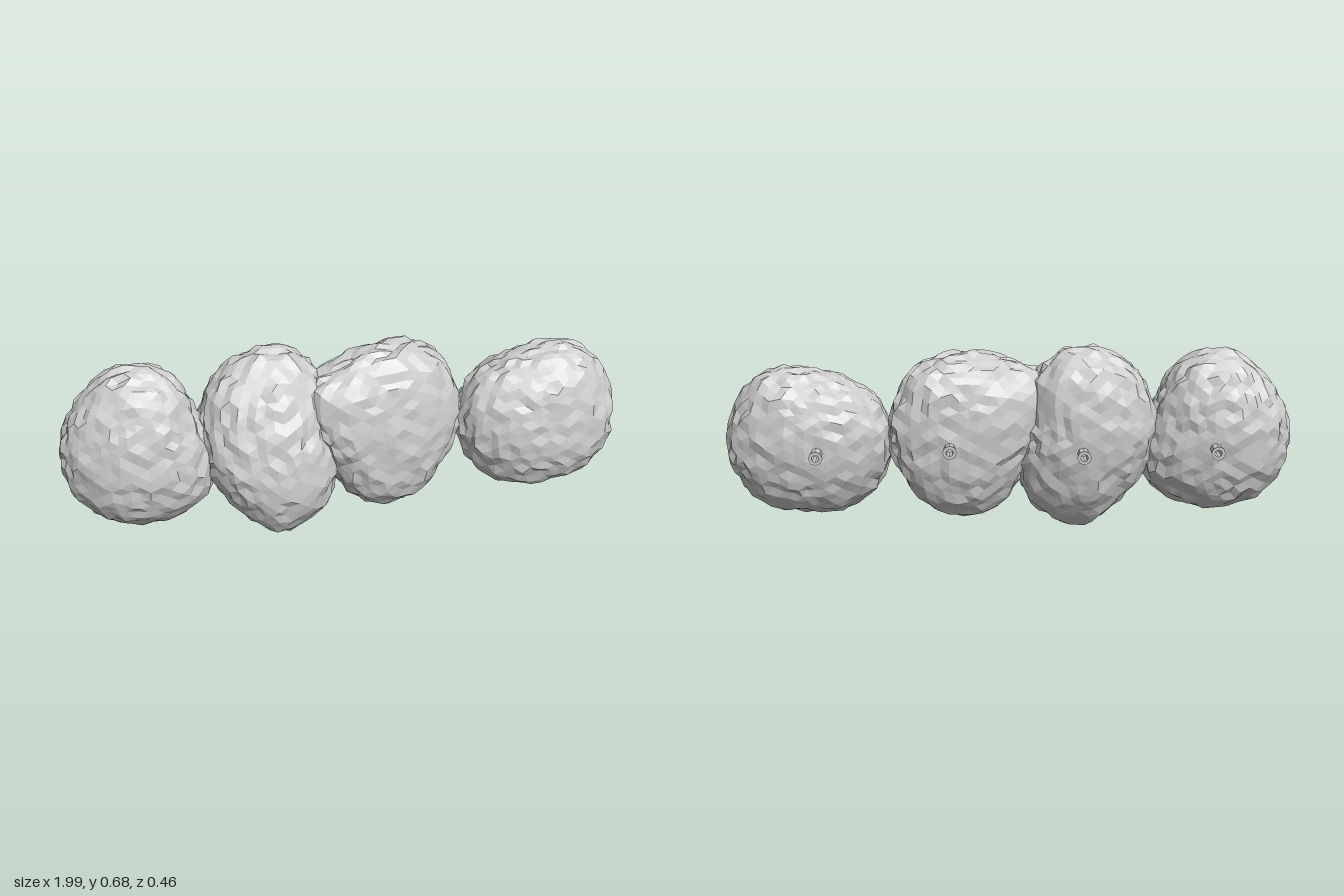
import * as THREE from 'three';

const stone = new THREE.MeshStandardMaterial({ color: 0xcccccc, flatShading: true, side: THREE.DoubleSide });
stone.name = 'stone grey';

// Each hold: centre, outline radii every 30 degrees from +x, depths, tilt of the widest ring,
// lean (how much the front bulges towards the bottom), fullness of the section, bolt position
const HOLDS = [
  { name: 'holdRight', c: [-0.738, 0.355], front: 0.176, back: 0.175, tilt: [0.04, -0.03], lean: 0.1, full: 2.2, bolt: [-0.71, 0.345],
    r: [0.262, 0.248, 0.287, 0.305, 0.272, 0.255, 0.26, 0.27, 0.28, 0.283, 0.292, 0.298] },
  { name: 'holdMidRight', c: [-0.273, 0.35], front: 0.21, back: 0.175, tilt: [0, -0.07], lean: 0.26, full: 2.2, bolt: [-0.25, 0.335],
    r: [0.24, 0.235, 0.305, 0.325, 0.3, 0.268, 0.25, 0.248, 0.272, 0.34, 0.325, 0.278] },
  { name: 'holdMidLeft', c: [0.144, 0.365], front: 0.161, back: 0.172, tilt: [-0.13, -0.04], lean: 0.08, full: 2.5, bolt: [0.21, 0.36],
    r: [0.278, 0.288, 0.303, 0.29, 0.297, 0.335, 0.275, 0.245, 0.28, 0.31, 0.297, 0.272] },
  { name: 'holdLeft', c: [0.706, 0.34], front: 0.176, back: 0.175, tilt: [0.01, -0.03], lean: 0.12, full: 2.25, bolt: [0.665, 0.345],
    r: [0.285, 0.283, 0.292, 0.262, 0.262, 0.288, 0.3, 0.292, 0.282, 0.258, 0.273, 0.283] },
];

// Repeatable value from -1 to 1 for a point
function hash(x, y, z, seed) {
  const q = (v) => Math.round(v * 1000);
  const s = Math.sin(q(x) * 12.9898 + q(y) * 78.233 + q(z) * 37.719 + seed * 11.3) * 43758.5453;
  return 2 * (s - Math.floor(s)) - 1;
}

// Smooth closed outline through the listed radii
function outline(r, angle) {
  const n = r.length;
  const t = ((angle / (2 * Math.PI) + 1) % 1) * n;
  const i = Math.floor(t), f = t - i;
  const [a, b, c, d] = [-1, 0, 1, 2].map((k) => r[(i + k + n) % n]);
  return b + 0.5 * f * (c - a + f * (2 * a - 5 * b + 4 * c - d + f * (3 * (b - c) + d - a)));
}

// Rough boulder: a faceted sphere stretched to the outline and roughened
function boulder(h, seed) {
  const geo = new THREE.IcosahedronGeometry(1, 8);
  const pos = geo.attributes.position;
  for (let i = 0; i < pos.count; i++) {
    const x = pos.getX(i), y = pos.getY(i), z = pos.getZ(i);
    const wave = 0.012 * Math.sin(9 * x + seed * 2) * Math.sin(8 * y + seed) * Math.cos(7 * z);
    const rough = 1 + 0.033 * hash(x, y, z, seed) + wave;
    // Squarer section than a plain ellipse
    const swell = (Math.hypot(x, y) ** h.full + Math.abs(z) ** h.full) ** (-1 / h.full) * rough;
    const r = outline(h.r, Math.atan2(y, x)) * swell;
    const px = x * r, py = y * r;
    const depth = z > 0 ? h.front * (1 - h.lean * y) : h.back;
    pos.setXYZ(i, px, py, z * depth * swell + h.tilt[0] * px + h.tilt[1] * py);
  }
  geo.computeVertexNormals();
  const mesh = new THREE.Mesh(geo, stone);
  mesh.position.set(h.c[0], h.c[1], 0);
  mesh.name = 'boulder';
  return mesh;
}

// Hollow bolt sticking out of the back
function backBolt(h) {
  const profile = [[0.02, 0], [0.02, 0.08], [0.025, 0.107], [0.013, 0.107], [0.013, 0.05], [0, 0.05]];
  const geo = new THREE.LatheGeometry(profile.map(([x, y]) => new THREE.Vector2(x, y)), 8);
  geo.rotateX(-Math.PI / 2);
  const mesh = new THREE.Mesh(geo, stone);
  mesh.position.set(h.bolt[0], h.bolt[1], -0.12);
  mesh.name = 'backBolt';
  return mesh;
}

export function createModel() {
  const model = new THREE.Group();
  model.name = 'climbingHolds';
  HOLDS.forEach((h, i) => {
    const hold = new THREE.Group();
    hold.name = h.name;
    hold.add(boulder(h, i + 1), backBolt(h));
    model.add(hold);
  });
  return model;
}
